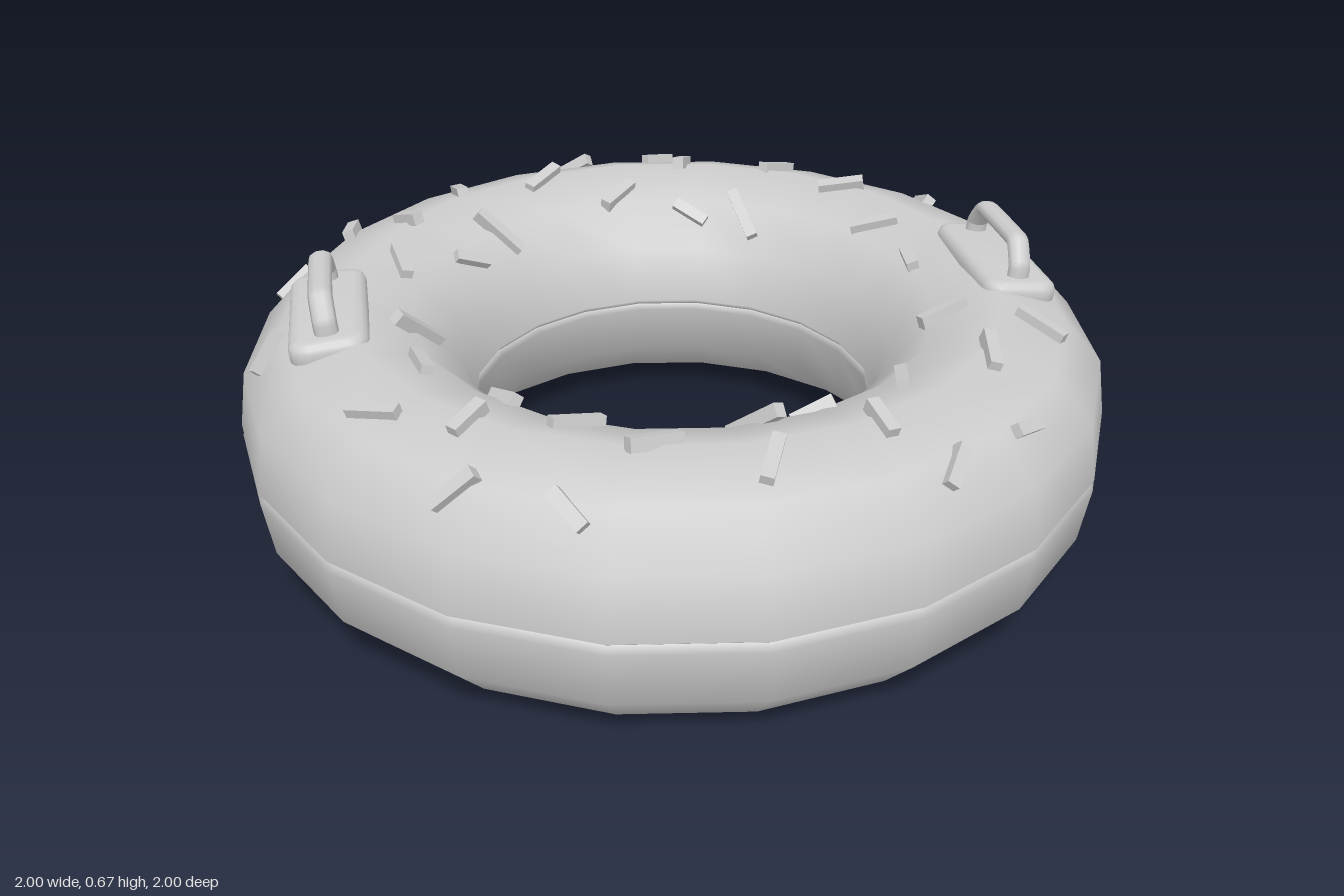
import * as THREE from 'three';
import { toCreasedNormals } from 'three/addons/utils/BufferGeometryUtils.js';

const SIDES = 20;
const SEAM = 0.289;

// Upper half of the tube section, from the outer seam over the top to the inner seam
const UPPER = [
  [0.982, SEAM], [0.998, 0.302], [0.978, 0.433], [0.89, 0.53], [0.745, 0.577],
  [0.6, 0.53], [0.502, 0.433], [0.47, 0.302], [0.48, SEAM],
];

// Sprinkles: x, z and heading in degrees, seen from above
const LONG = [
  [-0.44, -0.66, 84], [-0.22, -0.69, -45], [0.41, -0.67, -37], [-0.03, -0.62, -45],
  [0.28, -0.5, 75], [0.54, -0.49, 15], [-0.36, -0.47, 20], [-0.61, -0.26, 80],
  [0.57, -0.29, 13], [-0.59, 0.05, -33], [-0.59, 0.25, 80], [0.58, 0.21, -15],
  [0.76, 0.33, 50], [-0.69, 0.45, 32], [-0.3, 0.56, -18], [0.06, 0.58, 45],
  [0.39, 0.51, -75], [0.59, 0.47, -78], [-0.17, 0.71, -17], [0.04, 0.79, -65],
];
const SHORT = [
  [-0.11, -0.88, 27], [0.12, -0.87, -27], [0.16, -0.72, -65], [0.15, -0.55, 35],
  [0.76, -0.48, 87], [-0.72, -0.52, -80], [-0.58, -0.47, 55], [-0.86, -0.35, -30],
  [-0.44, -0.36, -20], [0.86, -0.28, 38], [0.6, -0.09, -85], [-0.91, 0.05, -45],
  [-0.43, 0.4, 62], [-0.51, 0.55, -40], [0.19, 0.55, 3], [-0.55, 0.71, 0],
  [0.28, 0.7, 75], [0.4, 0.8, -55], [-0.35, 0.82, 55], [0.59, 0.68, -35],
];

// Height and normal of the ring's top surface above a point
function surfaceAt(x, z) {
  const step = (2 * Math.PI) / SIDES;
  const phi = Math.atan2(x, z);
  const mid = (Math.floor(phi / step) + 0.5) * step;
  const r = Math.hypot(x, z) * Math.cos(phi - mid) / Math.cos(step / 2);
  let i = 2;
  while (i < 5 && UPPER[i + 1][0] > r) i++;
  const [r0, y0] = UPPER[i], [r1, y1] = UPPER[i + 1];
  const slope = (y1 - y0) / (r1 - r0);
  const normal = new THREE.Vector3(-slope * Math.sin(mid), 1, -slope * Math.cos(mid)).normalize();
  return { y: y0 + slope * (r - r0), normal };
}

function makeSprinkle(x, z, degrees, length, material) {
  const { y, normal } = surfaceAt(x, z);
  const a = THREE.MathUtils.degToRad(degrees);
  const along = new THREE.Vector3(Math.cos(a), 0, Math.sin(a));
  along.y = -along.dot(normal) / normal.y;
  const stretched = length * along.length();
  along.normalize();
  const across = new THREE.Vector3().crossVectors(along, normal);
  const mesh = new THREE.Mesh(new THREE.BoxGeometry(Math.min(stretched, length * 1.25), 0.03, 0.028), material);
  mesh.name = 'sprinkle';
  mesh.quaternion.setFromRotationMatrix(new THREE.Matrix4().makeBasis(along, normal, across));
  mesh.position.set(x, y, z).addScaledVector(normal, 0.006);
  return mesh;
}

function makeHandle(material) {
  const handle = new THREE.Group();

  // Bevelled pad with rounded corners
  const w = 0.062, d = 0.168, c = 0.02;
  const shape = new THREE.Shape();
  shape.moveTo(-w + c, -d);
  shape.lineTo(w - c, -d);
  shape.quadraticCurveTo(w, -d, w, -d + c);
  shape.lineTo(w, d - c);
  shape.quadraticCurveTo(w, d, w - c, d);
  shape.lineTo(-w + c, d);
  shape.quadraticCurveTo(-w, d, -w, d - c);
  shape.lineTo(-w, -d + c);
  shape.quadraticCurveTo(-w, -d, -w + c, -d);
  const padGeometry = new THREE.ExtrudeGeometry(shape, {
    depth: 0.02, bevelThickness: 0.022, bevelSize: 0.025, bevelSegments: 3, curveSegments: 4,
  });
  padGeometry.rotateX(-Math.PI / 2);
  const pad = new THREE.Mesh(toCreasedNormals(padGeometry, 0.7), material);
  pad.name = 'handlePad';
  pad.position.y = 0.01;
  handle.add(pad);

  // Grip bar with chamfered corners
  const path = new THREE.CatmullRomCurve3([
    [0.03, -0.14], [0.075, -0.137], [0.123, -0.098], [0.123, 0.098], [0.075, 0.137], [0.03, 0.14],
  ].map(([y, z]) => new THREE.Vector3(0, y, z)), false, 'catmullrom', 0.1);
  const gripGeometry = new THREE.TubeGeometry(path, 40, 0.019, 10);
  gripGeometry.scale(1.4, 1, 1);
  const grip = new THREE.Mesh(gripGeometry, material);
  grip.name = 'handleGrip';
  handle.add(grip);
  return handle;
}

export function createModel() {
  const model = new THREE.Group();
  model.name = 'swimRing';
  const vinyl = new THREE.MeshStandardMaterial({ color: 0xcccccc });
  vinyl.name = 'light grey vinyl';

  // Two half tubes meeting in a shallow seam
  const lower = UPPER.map(([r, y]) => [r, 2 * SEAM - y]).reverse();
  for (const [name, profile] of [['upperRing', UPPER], ['lowerRing', lower]]) {
    const points = profile.map(([r, y]) => new THREE.Vector2(r, Math.max(0, y)));
    const ring = new THREE.Mesh(new THREE.LatheGeometry(points, SIDES), vinyl);
    ring.name = name;
    model.add(ring);
  }

  // Sprinkles scattered over the top
  const sprinkles = new THREE.Group();
  sprinkles.name = 'sprinkles';
  for (const [list, length] of [[LONG, 0.115], [SHORT, 0.085]]) {
    for (const [x, z, degrees] of list) sprinkles.add(makeSprinkle(x, z, degrees, length, vinyl));
  }
  model.add(sprinkles);

  // A handle on each side, leaning outwards
  for (const side of [1, -1]) {
    const handle = makeHandle(vinyl);
    handle.name = side > 0 ? 'leftHandle' : 'rightHandle';
    handle.position.set(side * 0.775, 0.533, 0);
    handle.rotation.z = -side * 0.1;
    model.add(handle);
  }
  return model;
}
